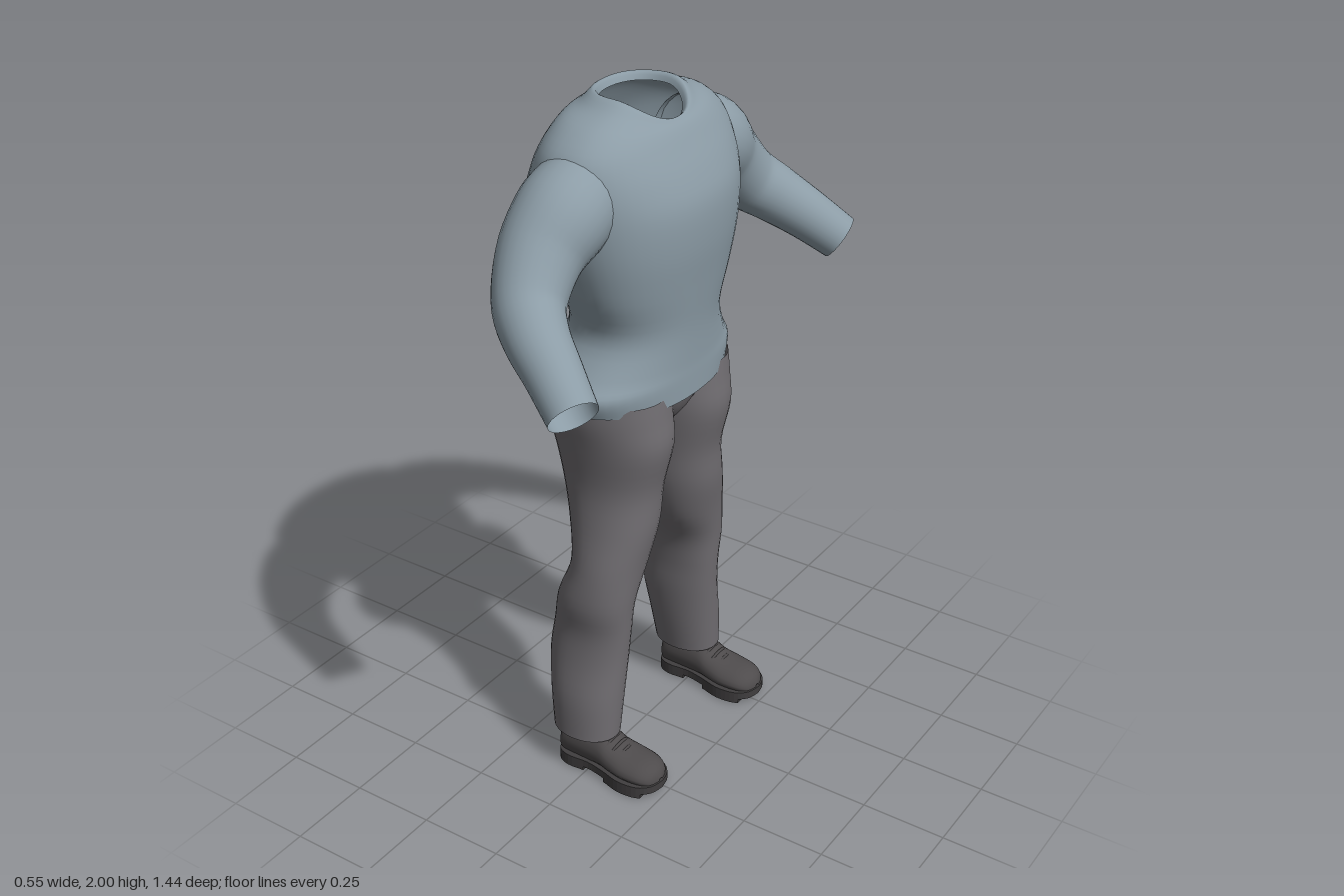
import * as THREE from 'three';

const mat = (name, color, side = THREE.FrontSide) => {
  const m = new THREE.MeshStandardMaterial({ color, side });
  m.name = name;
  return m;
};

// Resample rows of numbers with a Catmull-Rom spline, n steps per span
function smoothRows(rows, n) {
  const out = [];
  const at = i => rows[Math.min(Math.max(i, 0), rows.length - 1)];
  for (let i = 0; i < rows.length - 1; i++) {
    for (let k = 0; k < n; k++) {
      const t = k / n;
      out.push(rows[i].map((p1, j) => {
        const p0 = at(i - 1)[j], p2 = at(i + 1)[j], p3 = at(i + 2)[j];
        return 0.5 * (2 * p1 + (p2 - p0) * t + (2 * p0 - 5 * p1 + 4 * p2 - p3) * t * t
          + (3 * p1 - p0 - 3 * p2 + p3) * t * t * t);
      }));
    }
  }
  out.push(rows[rows.length - 1]);
  return out;
}

// Skin a row of closed rings; side -1 mirrors the result in z
function loft(rings, side = 1) {
  const list = side < 0 ? [...rings].reverse() : rings;
  const n = list[0].length, pos = [], idx = [];
  for (const ring of list) for (const p of ring) pos.push(p.x, p.y, p.z * side);
  for (let i = 0; i < list.length - 1; i++) {
    for (let j = 0; j < n; j++) {
      const a = i * n + j, b = i * n + (j + 1) % n;
      idx.push(a, a + n, b, b, a + n, b + n);
    }
  }
  const g = new THREE.BufferGeometry();
  g.setAttribute('position', new THREE.Float32BufferAttribute(pos, 3));
  g.setIndex(idx);
  g.computeVertexNormals();
  return g;
}

// Rounded outline: exponent below 1 makes it squarer
function outline(count, power, place) {
  const bend = v => Math.sign(v) * Math.abs(v) ** power;
  return Array.from({ length: count }, (_, j) => {
    const a = j / count * Math.PI * 2;
    return place(bend(Math.cos(a)), bend(Math.sin(a)));
  });
}

// Upright ring from [y, back x, front x, inner z, outer z, front droop]
const uprightRing = (power, count) => ([y, x0, x1, z0, z1, droop]) =>
  outline(count, power, (c, s) => new THREE.Vector3(
    (x0 + x1) / 2 + c * (x1 - x0) / 2,
    y - droop * Math.max(0, c) ** 2,
    (z0 + z1) / 2 + s * (z1 - z0) / 2));

export function createModel() {
  const shirt = mat('shirt blue grey', 0x8c9ca6, THREE.DoubleSide);
  const cloth = mat('trouser grey', 0x706d71, THREE.DoubleSide);
  const leather = mat('shoe leather', 0x4e4b4c);
  const rubber = mat('sole rubber', 0x403e3f);

  const model = new THREE.Group();
  model.name = 'clothedFigure';
  const add = (parent, name, geometry, material) => {
    const m = new THREE.Mesh(geometry, material);
    m.name = name;
    parent.add(m);
    return m;
  };

  // Shirt body, hem to collar, ending with a turned-in rim
  const body = [
    [1.18, -0.255, 0.165, 0.318, 0.01], [1.23, -0.245, 0.165, 0.335, 0],
    [1.28, -0.23, 0.165, 0.295, 0], [1.38, -0.18, 0.17, 0.24, 0],
    [1.5, -0.185, 0.185, 0.28, 0], [1.62, -0.23, 0.2, 0.315, 0],
    [1.73, -0.275, 0.2, 0.335, 0], [1.82, -0.25, 0.175, 0.335, 0.01],
    [1.89, -0.215, 0.14, 0.315, 0.01], [1.945, -0.185, 0.12, 0.25, 0.03],
    [1.972, -0.155, 0.105, 0.175, 0.04], [1.998, -0.132, 0.095, 0.127, 0.06],
    [1.975, -0.118, 0.08, 0.112, 0.055],
  ].map(([y, b, f, z, d]) => [y, b, f, -z, z, d]);
  add(model, 'shirtBody', loft(smoothRows(body, 4).map(uprightRing(0.9, 48))), shirt);

  // Sleeve centre line and radius
  const sleeve = smoothRows([
    [-0.035, 1.785, 0.25, 0.12], [-0.03, 1.752, 0.33, 0.127], [-0.035, 1.68, 0.42, 0.112],
    [-0.005, 1.59, 0.51, 0.095], [0.055, 1.535, 0.565, 0.085],
    [0.14, 1.475, 0.61, 0.075], [0.23, 1.405, 0.656, 0.067],
  ], 5);
  const sleeveRings = sleeve.map((row, i) => {
    const a = sleeve[Math.max(i - 1, 0)], b = sleeve[Math.min(i + 1, sleeve.length - 1)];
    const t = new THREE.Vector3(b[0] - a[0], b[1] - a[1], b[2] - a[2]).normalize();
    const u = new THREE.Vector3(1, 0, 0).addScaledVector(t, -t.x).normalize();
    const v = u.clone().cross(t);
    return outline(28, 1, (c, s) => new THREE.Vector3(row[0], row[1], row[2])
      .addScaledVector(u, c * row[3]).addScaledVector(v, s * row[3]));
  });

  // Seat of the trousers, bridging both legs
  const seat = [
    [1.02, -0.06, 0.03, -0.005, 0.005, 0], [1.05, -0.09, 0.07, -0.03, 0.03, 0],
    [1.1, -0.15, 0.115, -0.13, 0.13, 0], [1.17, -0.225, 0.145, -0.27, 0.27, 0],
    [1.23, -0.225, 0.145, -0.28, 0.28, 0], [1.24, -0.05, -0.04, -0.01, 0.01, 0],
  ];
  add(model, 'trouserSeat', loft(smoothRows(seat, 3).map(uprightRing(1, 36))), cloth);

  // Trouser leg, cuff to hip
  const leg = smoothRows([
    [0.13, -0.13, 0.075, 0.19, 0.35, 0], [0.25, -0.145, 0.08, 0.17, 0.345, 0],
    [0.37, -0.16, 0.085, 0.156, 0.322, 0], [0.47, -0.148, 0.092, 0.152, 0.312, 0],
    [0.57, -0.13, 0.1, 0.137, 0.322, 0], [0.68, -0.098, 0.113, 0.085, 0.308, 0],
    [0.8, -0.125, 0.132, 0.05, 0.28, 0], [0.92, -0.158, 0.138, 0.033, 0.264, 0],
    [1.05, -0.19, 0.166, 0.015, 0.277, 0], [1.14, -0.225, 0.158, 0.0, 0.292, 0],
    [1.2, -0.235, 0.15, 0.0, 0.295, 0],
  ], 4).map(uprightRing(0.95, 32));

  // Shoe upper, heel to toe: [x, half width, top y]
  const upper = smoothRows([
    [-0.104, 0.008, 0.06], [-0.1, 0.038, 0.115], [-0.08, 0.052, 0.15], [-0.02, 0.056, 0.155],
    [0.04, 0.058, 0.145], [0.08, 0.064, 0.115], [0.13, 0.071, 0.098],
    [0.185, 0.065, 0.088], [0.218, 0.043, 0.07], [0.23, 0.008, 0.045],
  ], 3).map(([x, w, top]) => outline(24, 0.85, (c, s) => new THREE.Vector3(
    x, (top + 0.022) / 2 + s * (top - 0.022) / 2, 0.27 + c * w * (s > 0 ? 1 - 0.2 * s : 1))));

  // Sole outline seen from above, cut between two x positions
  const soleHalf = smoothRows([
    [-0.108, 0], [-0.1, 0.04], [-0.06, 0.058], [0.01, 0.054], [0.07, 0.064],
    [0.13, 0.078], [0.19, 0.071], [0.225, 0.042], [0.236, 0],
  ], 4);
  const soleSlab = (side, from, to, top, depth) => {
    const half = soleHalf.filter(p => p[0] >= from && p[0] <= to);
    const pts = [...half, ...half.slice().reverse().map(([x, z]) => [x, -z])];
    const g = new THREE.ExtrudeGeometry(new THREE.Shape(pts.map(p => new THREE.Vector2(...p))),
      { depth, bevelEnabled: false });
    return g.rotateX(Math.PI / 2).translate(0, top, 0.27 * side);
  };

  for (const side of [1, -1]) {
    const label = side > 0 ? 'left' : 'right';
    add(model, label + 'Sleeve', loft(sleeveRings, side), shirt);
    add(model, label + 'TrouserLeg', loft(leg, side), cloth);

    const shoe = new THREE.Group();
    shoe.name = label + 'Shoe';
    model.add(shoe);
    add(shoe, 'upper', loft(upper, side), leather);
    add(shoe, 'sole', soleSlab(side, -1, 1, 0.038, 0.024), rubber);
    add(shoe, 'heel', soleSlab(side, -1, 0.0, 0.015, 0.013), rubber);
    add(shoe, 'tread', soleSlab(side, 0.06, 0.21, 0.015, 0.015), rubber);

    // Laces across the instep
    for (let i = 0; i < 3; i++) {
      const x = 0.07 + i * 0.022, y = 0.127 - i * 0.011;
      const path = new THREE.QuadraticBezierCurve3(
        new THREE.Vector3(x - 0.008, y - 0.02, 0.27 * side - 0.04),
        new THREE.Vector3(x + 0.004, y + 0.012, 0.27 * side),
        new THREE.Vector3(x - 0.008, y - 0.02, 0.27 * side + 0.04));
      add(shoe, 'lace', new THREE.TubeGeometry(path, 10, 0.005, 6), leather);
    }
  }
  return model;
}
